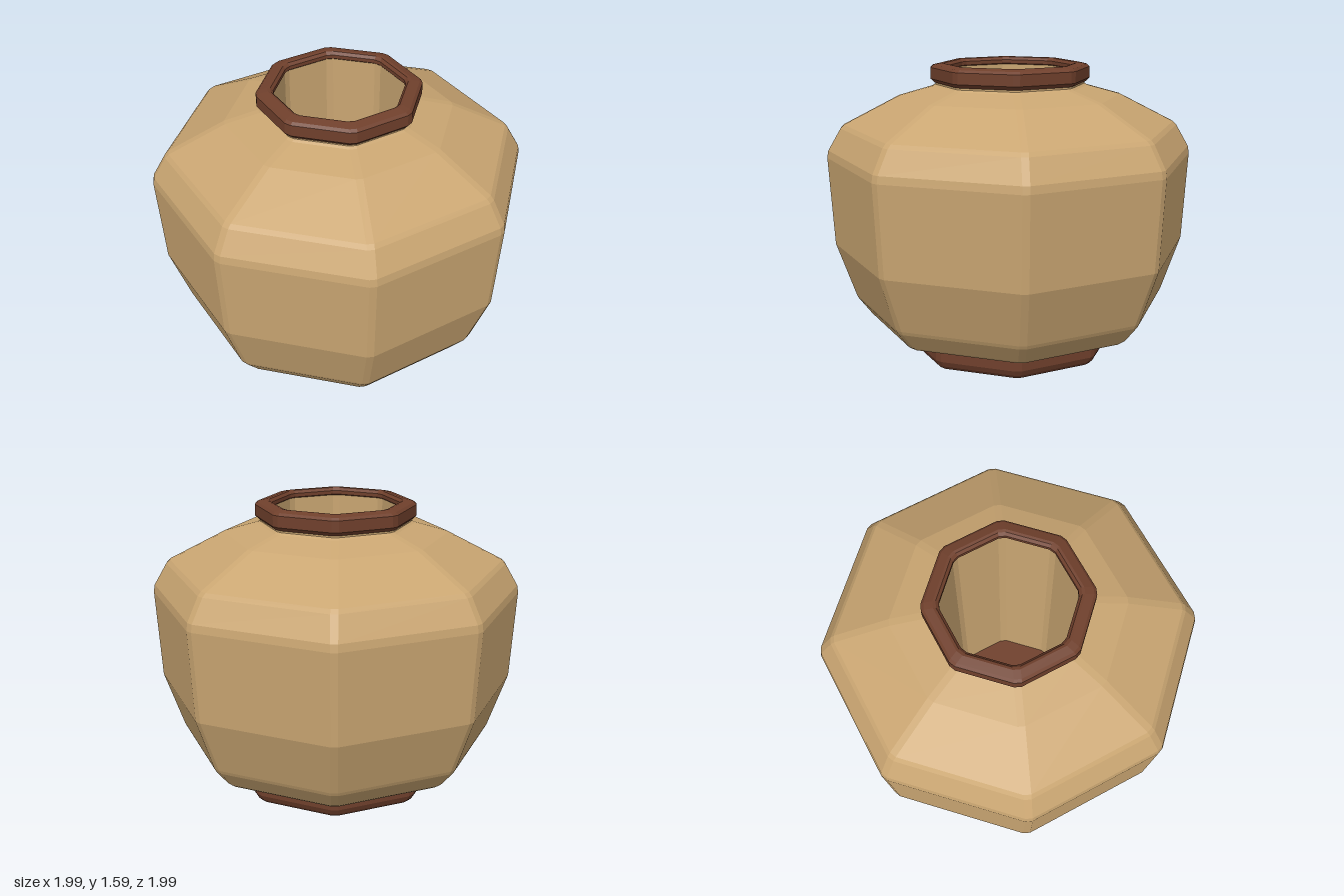
import * as THREE from 'three';

const SIDES = 8;
const CHAMFER = 0.02;

// Octagon with narrow chamfered corners, one corner on +x and one on +z
function section(r, y) {
  const corner = (k) => new THREE.Vector3(
    Math.sin(k * Math.PI * 2 / SIDES), 0, Math.cos(k * Math.PI * 2 / SIDES)
  ).multiplyScalar(r + CHAMFER * 0.38);
  const points = [];
  for (let k = 0; k < SIDES; k++) {
    const c = corner(k);
    for (const step of [-1, 1]) {
      const along = corner(k + step).sub(c).normalize().multiplyScalar(CHAMFER);
      const p = c.clone().add(along);
      p.y = y;
      points.push(p);
    }
  }
  return points;
}

// Flat-faced loft through [radius, height] pairs; rising profiles face outward
function loft(profile, { capBottom = false, capTop = false } = {}) {
  const rings = profile.map(([r, y]) => section(r, y));
  const out = [];
  const tri = (...ps) => ps.forEach((p) => out.push(p.x, p.y, p.z));
  const n = SIDES * 2;
  for (let i = 0; i < rings.length - 1; i++) {
    for (let k = 0; k < n; k++) {
      const a = rings[i][k], b = rings[i][(k + 1) % n];
      const c = rings[i + 1][(k + 1) % n], d = rings[i + 1][k];
      tri(a, b, c);
      tri(a, c, d);
    }
  }
  const cap = (ring, up) => {
    const mid = new THREE.Vector3(0, ring[0].y, 0);
    for (let k = 0; k < n; k++) {
      const a = ring[k], b = ring[(k + 1) % n];
      if (up) tri(mid, a, b);
      else tri(mid, b, a);
    }
  };
  if (capBottom) cap(rings[0], false);
  if (capTop) cap(rings[rings.length - 1], true);
  const geometry = new THREE.BufferGeometry();
  geometry.setAttribute('position', new THREE.Float32BufferAttribute(out, 3));
  geometry.computeVertexNormals();
  return geometry;
}

export function createModel() {
  const clay = new THREE.MeshStandardMaterial({ color: 0xcaa672 });
  clay.name = 'tanClay';
  const glaze = new THREE.MeshStandardMaterial({ color: 0x70402c });
  glaze.name = 'brownGlaze';

  const pot = new THREE.Group();
  pot.name = 'pot';
  const add = (name, geometry, material) => {
    const mesh = new THREE.Mesh(geometry, material);
    mesh.name = name;
    pot.add(mesh);
  };

  // Foot, whose top also forms the floor inside
  add('foot', loft([
    [0.55, 0], [0.57, 0.02], [0.585, 0.05], [0.585, 0.1],
  ], { capBottom: true, capTop: true }), glaze);

  // Belly, shoulder and short neck
  add('body', loft([
    [0.54, 0.1], [0.59, 0.11], [0.76, 0.17], [0.78, 0.185], [0.855, 0.28],
    [0.865, 0.3], [0.97, 0.6], [0.997, 1.085], [0.99, 1.125],
    [0.92, 1.245], [0.9, 1.265], [0.6, 1.42], [0.42, 1.47],
    [0.405, 1.48], [0.405, 1.5],
  ]), clay);

  // Inner wall, running downward so that it faces the axis
  add('innerWall', loft([[0.345, 1.57], [0.345, 0.1]]), clay);

  // Rolled rim
  add('rim', loft([
    [0.345, 1.49], [0.41, 1.49], [0.43, 1.51], [0.43, 1.57],
    [0.415, 1.583], [0.37, 1.593], [0.355, 1.59], [0.34, 1.575], [0.34, 1.555],
    [0.345, 1.55],
  ]), glaze);

  return pot;
}
